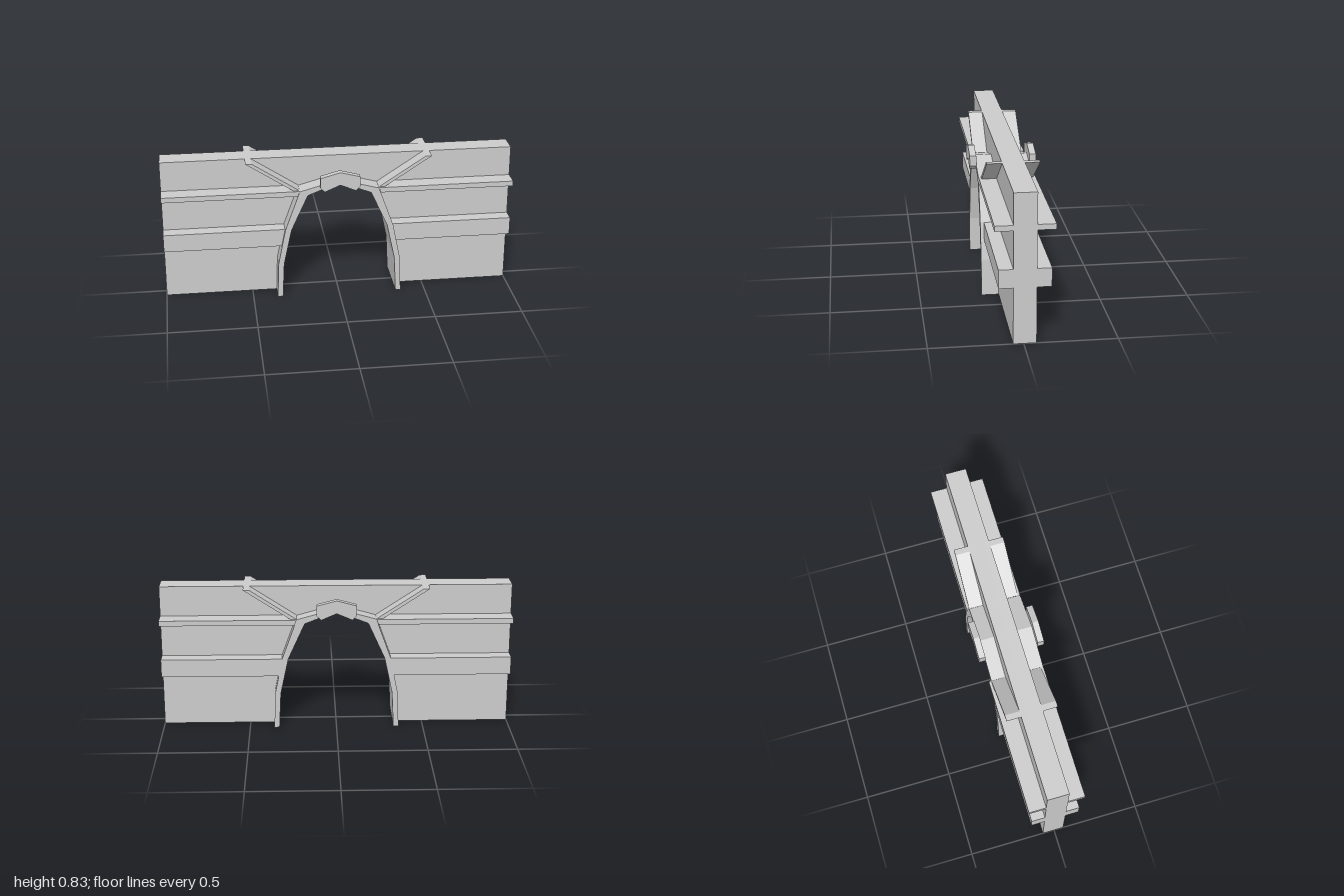
import * as THREE from 'three';

const material = new THREE.MeshStandardMaterial({ color: 0xcccccc, flatShading: true });

// Prism from an x/y outline, running from z0 to z1
function prism(name, points, z0, z1) {
  const shape = new THREE.Shape(points.map(([x, y]) => new THREE.Vector2(x, y)));
  const geometry = new THREE.ExtrudeGeometry(shape, { depth: z1 - z0, bevelEnabled: false });
  geometry.translate(0, 0, z0);
  const mesh = new THREE.Mesh(geometry, material);
  mesh.name = name;
  return mesh;
}

const mirrored = (points) => points.map(([x, y]) => [-x, y]);

// Right half of a symmetric line, ending at the crown, continued down the other side
const fullArch = (half) => [...half, ...mirrored(half.slice(0, -1)).reverse()];

export function createModel() {
  const group = new THREE.Group();
  const top = 0.83;

  const inner = fullArch([[0.33, 0], [0.32, 0.21], [0.275, 0.42], [0.18, 0.63], [0, 0.7]]);
  const outer = fullArch([[0.36, 0], [0.352, 0.21], [0.31, 0.42], [0.225, 0.655], [0, 0.717]]);

  // Wall with the arched opening cut up from the ground
  group.add(prism('wall', [[1, 0], [1, top], [-1, top], [-1, 0], ...[...outer].reverse()], -0.068, 0.055));

  // Arch lining
  group.add(prism('archRing', [...outer, ...[...inner].reverse()], -0.15, 0.152));

  // Keystone plates on both faces of the arch
  const keystone = [
    [0.088, 0.662], [0.112, 0.686], [0.112, 0.745], [0, 0.775],
    [-0.112, 0.745], [-0.112, 0.686], [-0.088, 0.662], [0, 0.7],
  ];
  group.add(prism('frontKeystone', keystone, 0.152, 0.189));
  group.add(prism('backKeystone', keystone, -0.187, -0.15));

  // Ledges and diagonal braces: name, outline, and z limits in front and behind
  const parts = [
    ['upperLedge', [[0.237, 0.627], [1, 0.627], [1, 0.657], [0.225, 0.657]], 0.152, -0.165],
    ['lowerLedge', [[0.318, 0.315], [1, 0.315], [1, 0.418], [0.295, 0.418]], 0.132, -0.145],
    ['brace', [[0.225, 0.656], [0.26, 0.656], [0.525, top], [0.49, top]], 0.138, -0.15],
  ];
  for (const [name, points, front, back] of parts) {
    for (const [side, outline] of [['left', points], ['right', mirrored(points)]]) {
      const label = side + name[0].toUpperCase() + name.slice(1);
      group.add(prism(label + 'Front', outline, 0.055, front));
      group.add(prism(label + 'Back', outline, back, -0.068));
    }
  }
  return group;
}
